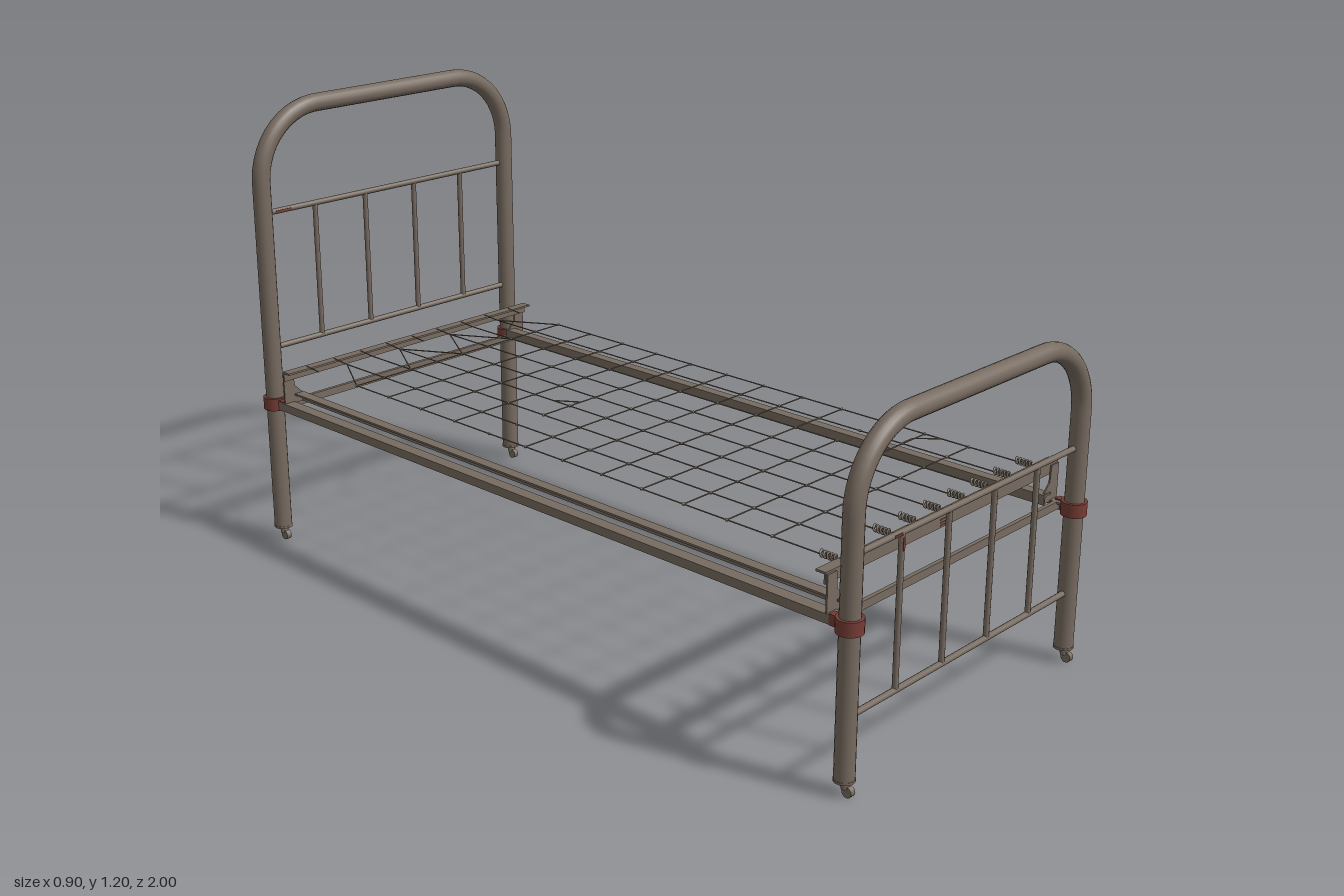
import * as THREE from 'three';

const steel = new THREE.MeshStandardMaterial({ color: 0x776b60 });
steel.name = 'worn grey-brown paint';
const rust = new THREE.MeshStandardMaterial({ color: 0x773c36 });
rust.name = 'red rust';

const V = (x, y, z) => new THREE.Vector3(x, y, z);
const UP = V(0, 1, 0);

function add(parent, name, geo, mat, x = 0, y = 0, z = 0) {
  const m = new THREE.Mesh(geo, mat);
  m.name = name;
  m.position.set(x, y, z);
  parent.add(m);
  return m;
}

// Box given by its low and high corners
function box(parent, name, a, b, mat = steel) {
  const g = new THREE.BoxGeometry(b[0] - a[0], b[1] - a[1], b[2] - a[2]);
  return add(parent, name, g, mat, (a[0] + b[0]) / 2, (a[1] + b[1]) / 2, (a[2] + b[2]) / 2);
}

// Straight round bar between two points
function rod(parent, name, a, b, r, sides = 10) {
  const d = b.clone().sub(a);
  const m = add(parent, name, new THREE.CylinderGeometry(r, r, d.length(), sides), steel);
  m.position.copy(a).add(b).multiplyScalar(0.5);
  m.quaternion.setFromUnitVectors(UP, d.normalize());
  return m;
}

// Bent tube hoop that forms both legs and the top of one bed end
function hoop(top, radius) {
  const x = 0.421, base = 0.036;
  const k = radius * 0.5523;
  const path = new THREE.CurvePath();
  path.add(new THREE.LineCurve3(V(-x, base, 0), V(-x, top - radius, 0)));
  path.add(new THREE.CubicBezierCurve3(V(-x, top - radius, 0), V(-x, top - radius + k, 0),
    V(-x + radius - k, top, 0), V(-x + radius, top, 0)));
  path.add(new THREE.LineCurve3(V(-x + radius, top, 0), V(x - radius, top, 0)));
  path.add(new THREE.CubicBezierCurve3(V(x - radius, top, 0), V(x - radius + k, top, 0),
    V(x, top - radius + k, 0), V(x, top - radius, 0)));
  path.add(new THREE.LineCurve3(V(x, top - radius, 0), V(x, base, 0)));
  return new THREE.TubeGeometry(path, 120, 0.0235, 18, false);
}

function bedEnd(name, z, top, radius, lowRod, highRod) {
  const end = new THREE.Group();
  end.name = name;
  end.position.z = z;
  const inward = -Math.sign(z);
  add(end, 'tubeHoop', hoop(top - 0.0235, radius), steel);
  for (const y of [lowRod, highRod]) rod(end, 'crossRod', V(-0.41, y, 0), V(0.41, y, 0), 0.0075);
  for (const x of [-0.255, -0.087, 0.083, 0.251]) {
    rod(end, 'verticalRod', V(x, lowRod, 0), V(x, highRod, 0), 0.007);
  }
  for (const s of [-1, 1]) {
    // Leg cap and small caster, all trailing towards the foot
    const x = s * 0.421;
    add(end, 'legCap', new THREE.CylinderGeometry(0.0245, 0.0245, 0.006, 18), steel, x, 0.038, 0);
    rod(end, 'casterStem', V(x, 0.018, 0.006), V(x, 0.038, 0), 0.011);
    rod(end, 'casterWheel', V(x - 0.007, 0.013, 0.012), V(x + 0.007, 0.013, 0.012), 0.013, 14);
    // Rusty collar with a lug that holds the side rail
    add(end, 'collar', new THREE.CylinderGeometry(0.031, 0.031, 0.034, 18), rust, x, 0.395, 0);
    add(end, 'collarLug', new THREE.BoxGeometry(0.02, 0.026, 0.024), rust, s * 0.422, 0.394, inward * 0.034);
  }
  return end;
}

// Flared gusset plate between side rail and raised cross bar
function bracketGeometry() {
  const s = new THREE.Shape();
  s.moveTo(0.43, 0.4);
  s.lineTo(0.371, 0.4);
  s.lineTo(0.371, 0.414);
  s.quadraticCurveTo(0.376, 0.432, 0.396, 0.448);
  s.lineTo(0.4, 0.49);
  s.lineTo(0.43, 0.49);
  s.closePath();
  return new THREE.ExtrudeGeometry(s, { depth: 0.004, bevelEnabled: false, curveSegments: 6 });
}

function baseFrame() {
  const g = new THREE.Group();
  g.name = 'baseFrame';
  const t = 0.005;
  for (const s of [-1, 1]) {
    const side = new THREE.Group();
    side.name = s > 0 ? 'leftRail' : 'rightRail';
    const span = (name, x0, x1, y0, y1, z) =>
      box(side, name, [Math.min(s * x0, s * x1), y0, -z], [Math.max(s * x0, s * x1), y1, z]);
    // Outer and inner angle irons, flanges on top
    span('outerRailWeb', 0.427, 0.432, 0.382, 0.404, 0.95);
    span('outerRailFlange', 0.4, 0.432, 0.399, 0.404, 0.95);
    span('innerRailWeb', 0.369, 0.374, 0.4, 0.425, 0.92);
    span('innerRailFlange', 0.369, 0.397, 0.42, 0.425, 0.92);
    g.add(side);
  }
  for (const e of [-1, 1]) {
    const bar = (name, x, y0, y1, z0, z1) =>
      box(g, name, [-x, y0, Math.min(e * z0, e * z1)], [x, y1, Math.max(e * z0, e * z1)]);
    // Raised angle iron carrying the springs, and lower tie bar
    bar('springBarWeb', 0.432, 0.468, 0.495, 0.912 - t, 0.912);
    bar('springBarFlange', 0.432, 0.49, 0.495, 0.885, 0.912);
    bar('tieBar', 0.42, 0.384, 0.404, 0.925, 0.935);
    for (const s of [-1, 1]) {
      const b = add(g, 'bracket', bracketGeometry(), steel, 0, 0, e > 0 ? 0.912 : -0.916);
      if (s < 0) {
        b.rotation.y = Math.PI;
        b.position.z += 0.004;
      }
    }
  }
  return g;
}

function springMesh() {
  const g = new THREE.Group();
  g.name = 'wireMesh';
  const y = 0.492, r = 0.0017, pitch = 0.0905;
  const wire = (x0, z0, x1, z1, name) => rod(g, name, V(x0, y, z0), V(x1, y, z1), r, 5);
  const backZ = -0.69, step = 0.1273;

  // Lengthwise wires, each pulled by a coil spring at the foot
  for (let i = -4; i <= 4; i++) {
    const x = i * pitch;
    wire(x, backZ, x, 0.845, 'longWire');
    rod(g, 'headHook', V(x, y, -0.85), V(x, y + 0.004, -0.9), r, 5);
    const pts = [];
    for (let k = 0; k <= 40; k++) {
      const a = k / 40 * Math.PI * 10;
      pts.push(V(x + Math.cos(a) * 0.0065, 0.495 + Math.sin(a) * 0.0065, 0.842 + 0.046 * k / 40));
    }
    add(g, 'coilSpring', new THREE.TubeGeometry(new THREE.CatmullRomCurve3(pts), 80, 0.003, 5), steel);
    // Links tying every crossing
    for (let j = 0; j < 12; j++) {
      add(g, 'wireKnot', new THREE.SphereGeometry(0.004, 6, 4), steel, x, y, backZ + j * step);
    }
  }
  // Crosswise wires, with a few broken lengths
  for (let j = 0; j < 12; j++) {
    const z = backZ + j * step;
    const from = j === 4 ? -2 : -4;
    const to = j === 9 ? 2 : 4;
    wire(from * pitch, z, to * pitch, z, 'crossWire');
  }
  wire(-pitch, -0.24, -pitch * 0.55, -0.18, 'looseWire');
  wire(3 * pitch, 0.58, 3.5 * pitch, 0.58, 'looseWire');
  wire(3.5 * pitch, 0.58, 4 * pitch, 0.63, 'looseWire');
  // Slanted and straight wires at the head
  for (const [a, b] of [[-4, -3], [-2, -1], [0, -1], [0, 1], [2, 1], [4, 3]]) {
    wire(a * pitch, backZ, b * pitch, -0.845, 'slantWire');
  }
  for (const i of [-3, -2, -1, 1, 2, 3]) wire(i * pitch, backZ, i * pitch, -0.85, 'headWire');
  return g;
}

export function createModel() {
  const bed = new THREE.Group();
  bed.name = 'metalBed';
  const endZ = 0.969;
  bed.add(bedEnd('footboard', endZ, 0.835, 0.175, 0.181, 0.546));
  bed.add(bedEnd('headboard', -endZ, 1.2, 0.185, 0.546, 0.911));
  bed.add(baseFrame(), springMesh());

  // Small rust patches on the bars, rail and rods
  for (const y of [0.473, 0.48, 0.487]) {
    box(bed, 'barRust', [-0.035, y - 0.0015, 0.911], [-0.008, y + 0.0015, 0.913], rust);
  }
  box(bed, 'railRust', [0.408, 0.403, -0.305], [0.433, 0.405, -0.24], rust);
  box(bed, 'headRodRust', [-0.385, 0.909, -endZ + 0.006], [-0.335, 0.914, -endZ + 0.008], rust);
  box(bed, 'footRodRust', [-0.287, 0.543, endZ + 0.006], [-0.262, 0.549, endZ + 0.008], rust);
  box(bed, 'footVerticalRust', [-0.258, 0.505, endZ + 0.0055], [-0.252, 0.535, endZ + 0.0075], rust);
  return bed;
}
